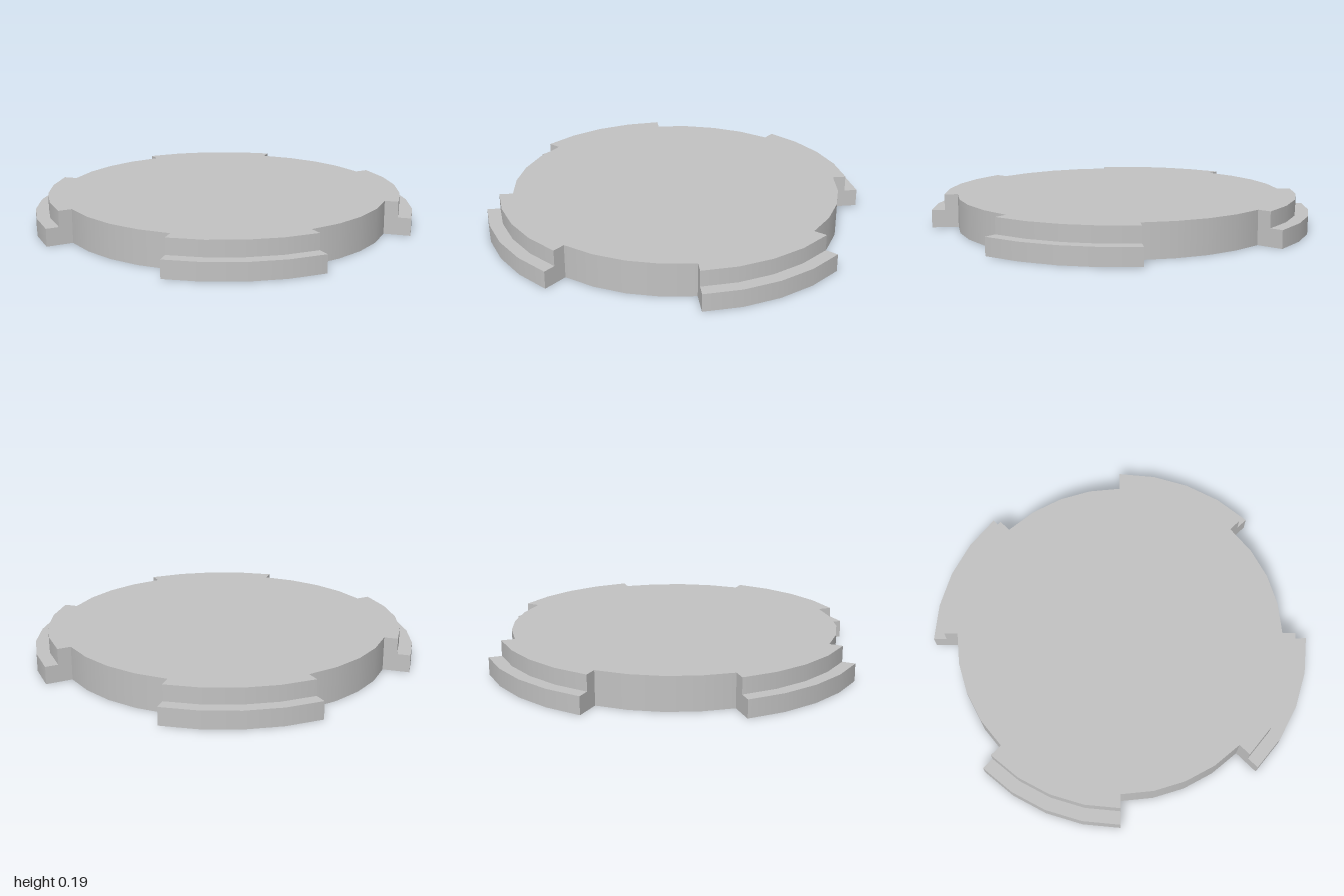
import * as THREE from 'three';

const H = 0.19;            // total height
const STEP = 0.1;          // height of the flange ledge
const R_NOTCH = 0.932;     // recessed rim
const R_TAB = 1.008;       // upper wall of each tab
const R_FLANGE = 1.082;    // lower wall of each tab
const ARC = Math.PI / 4;   // each tab and each notch spans 45 degrees
const SEG = 4;

export function createModel() {
  const group = new THREE.Group();
  const grey = new THREE.MeshStandardMaterial({ color: 0xc2c2c2, side: THREE.DoubleSide });
  grey.name = 'light grey';

  const add = (name, geometry, parent = group) => {
    const mesh = new THREE.Mesh(geometry, grey);
    mesh.name = name;
    parent.add(mesh);
    return mesh;
  };

  // open curved wall centred on +z
  const wall = (r, y0, y1) =>
    new THREE.CylinderGeometry(r, r, y1 - y0, SEG, 1, true, -ARC / 2, ARC).translate(0, (y0 + y1) / 2, 0);

  // top plate: notch and tab arcs alternate around the outline
  const outline = [];
  for (let i = 0; i < 8; i++) {
    const r = i % 2 ? R_TAB : R_NOTCH;
    for (let j = 0; j <= SEG; j++) {
      const a = (i - 0.5 + j / SEG) * ARC;
      outline.push(new THREE.Vector2(r * Math.cos(a), r * Math.sin(a)));
    }
  }
  add('topPlate', new THREE.ShapeGeometry(new THREE.Shape(outline)).rotateX(-Math.PI / 2).translate(0, H, 0));

  // stepped end of a tab, drawn with radius along x
  const endShape = new THREE.Shape([
    [R_NOTCH, 0], [R_FLANGE, 0], [R_FLANGE, STEP], [R_TAB, STEP], [R_TAB, H], [R_NOTCH, H],
  ].map(([x, y]) => new THREE.Vector2(x, y)));

  for (let k = 0; k < 4; k++) {
    // recessed rim walls facing front, back and sides
    add('notchWall', wall(R_NOTCH, 0, H)).rotation.y = k * Math.PI / 2;

    // corner tabs, hollow underneath
    const tab = new THREE.Group();
    tab.name = 'cornerTab';
    tab.rotation.y = k * Math.PI / 2 + ARC;
    add('tabUpperWall', wall(R_TAB, STEP, H), tab);
    add('flangeWall', wall(R_FLANGE, 0, STEP), tab);
    add('flangeLedge', new THREE.RingGeometry(R_TAB, R_FLANGE, SEG, 1, -Math.PI / 2 - ARC / 2, ARC)
      .rotateX(-Math.PI / 2).translate(0, STEP, 0), tab);
    for (const s of [-1, 1]) {
      const end = add('tabEnd', new THREE.ShapeGeometry(endShape), tab);
      end.rotation.y = -Math.PI / 2 + s * ARC / 2;
      if (s < 0) end.geometry.scale(1, 1, 1);
    }
    group.add(tab);
  }
  return group;
}
